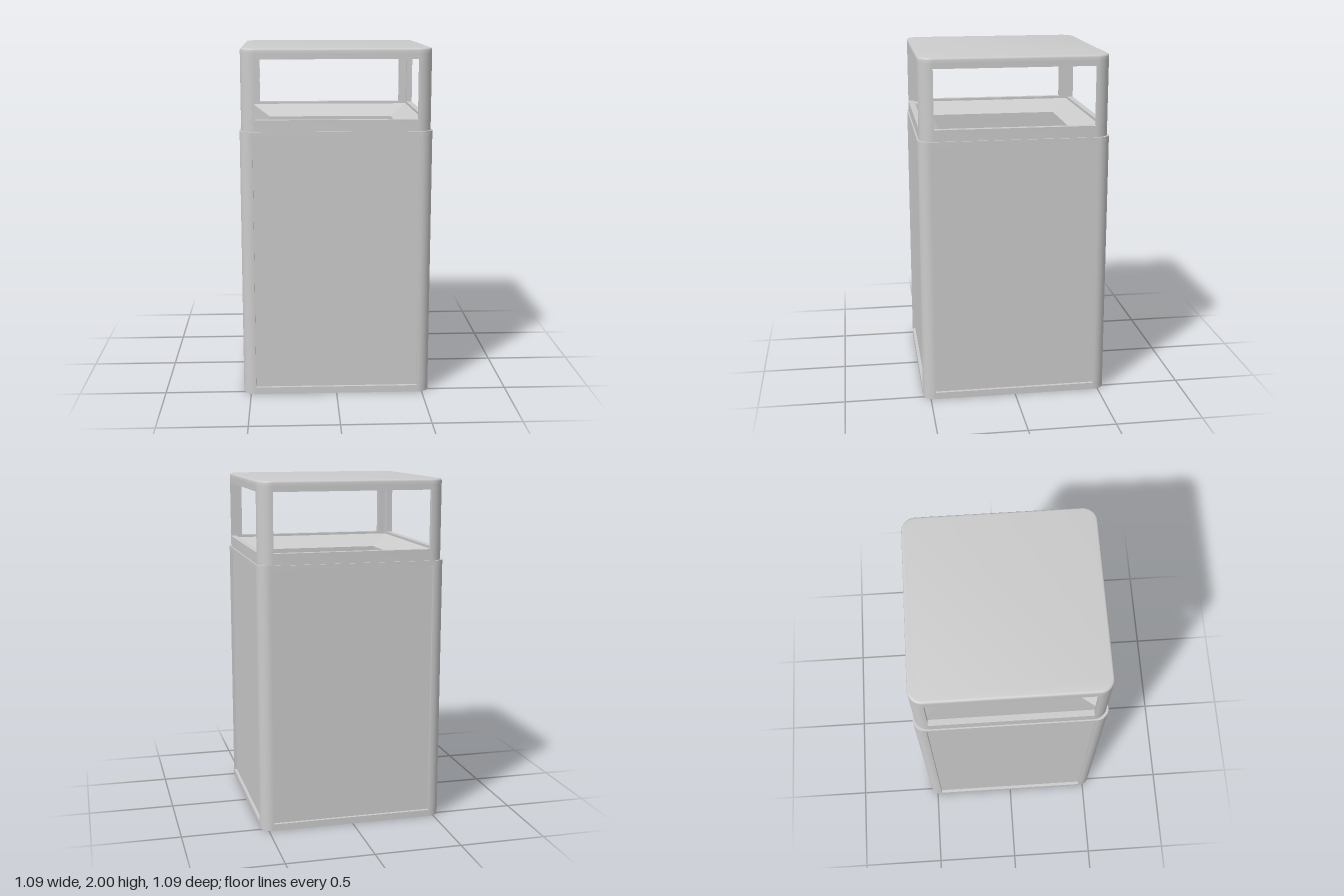
import * as THREE from 'three';
import { toCreasedNormals } from 'three/addons/utils/BufferGeometryUtils.js';

const BODY = 0.543, BODY_R = 0.07, PANEL = 0.47, BODY_TOP = 1.54;
const HOOD = 0.535, HOOD_R = 0.08, WINDOW = 0.457, INNER = 0.5;
const mat = new THREE.MeshStandardMaterial({ color: 0xcccccc });
const thinMat = new THREE.MeshStandardMaterial({ color: 0xcccccc, side: THREE.DoubleSide });

function mesh(name, geometry, material = mat) {
  const m = new THREE.Mesh(geometry, material);
  m.name = name;
  return m;
}

// Rounded square outline of half-width h
function roundedSquare(h, r) {
  const s = new THREE.Shape();
  const c = h - r;
  s.absarc(c, c, r, 0, Math.PI / 2);
  s.absarc(-c, c, r, Math.PI / 2, Math.PI);
  s.absarc(-c, -c, r, Math.PI, Math.PI * 1.5);
  s.absarc(c, -c, r, Math.PI * 1.5, Math.PI * 2);
  s.closePath();
  return s;
}

function squareHole(h) {
  const p = new THREE.Path();
  p.moveTo(-h, -h);
  p.lineTo(-h, h);
  p.lineTo(h, h);
  p.lineTo(h, -h);
  p.closePath();
  return p;
}

// Upright extrusion of a plan outline from y0 to y1
function rise(shape, y0, y1) {
  const g = new THREE.ExtrudeGeometry(shape, { depth: y1 - y0, bevelEnabled: false, curveSegments: 6 });
  g.rotateX(-Math.PI / 2);
  g.translate(0, y0, 0);
  return toCreasedNormals(g, 0.6);
}

function ring(name, half, radius, hole, y0, y1) {
  const s = roundedSquare(half, radius);
  s.holes.push(squareHole(hole));
  return mesh(name, rise(s, y0, y1));
}

// L-shaped corner post with a rounded outer edge
function cornerPosts(name, half, radius, start, inner, y0, y1) {
  const s = new THREE.Shape();
  s.moveTo(start, inner);
  s.lineTo(inner, inner);
  s.lineTo(inner, start);
  s.lineTo(half, start);
  s.absarc(half - radius, half - radius, radius, 0, Math.PI / 2);
  s.lineTo(start, half);
  s.closePath();
  const geometry = rise(s, y0, y1);
  const group = new THREE.Group();
  group.name = name + 's';
  for (let i = 0; i < 4; i++) {
    const post = mesh(name, geometry);
    post.rotation.y = i * Math.PI / 2;
    group.add(post);
  }
  return group;
}

// Open four-sided sleeve between two square half-widths
function sleeve(name, topHalf, bottomHalf, y0, y1) {
  const g = new THREE.CylinderGeometry(topHalf * Math.SQRT2, bottomHalf * Math.SQRT2, y1 - y0, 4, 1, true);
  g.rotateY(Math.PI / 4);
  g.translate(0, (y0 + y1) / 2, 0);
  return mesh(name, toCreasedNormals(g, 0.5), thinMat);
}

export function createModel() {
  const model = new THREE.Group();
  model.name = 'litterBin';

  // Body frame, open underneath
  const body = new THREE.Group();
  body.name = 'body';
  body.add(ring('bottomRail', BODY, BODY_R, 0.5, 0, 0.04));
  body.add(ring('topRail', BODY, BODY_R, 0.5, 1.515, BODY_TOP));
  body.add(cornerPosts('bodyPost', BODY, BODY_R, PANEL, 0.5, 0.04, 1.515));

  // Recessed side panels
  for (let i = 0; i < 4; i++) {
    const g = new THREE.BoxGeometry(PANEL * 2 + 0.03, 1.475, 0.01);
    g.translate(0, 0.7775, 0.52);
    const panel = mesh('sidePanel', g);
    panel.rotation.y = i * Math.PI / 2;
    body.add(panel);
  }
  model.add(body);

  // Hood with four windows
  const hood = new THREE.Group();
  hood.name = 'hood';
  hood.add(ring('windowSill', HOOD, HOOD_R, INNER, BODY_TOP, 1.605));
  hood.add(cornerPosts('hoodPost', HOOD, HOOD_R, WINDOW, INNER, 1.605, 1.94));
  hood.add(ring('windowHeader', HOOD, HOOD_R, INNER, 1.94, 1.97));

  // Lid with a softened upper edge
  const bevel = 0.012;
  const lid = new THREE.ExtrudeGeometry(roundedSquare(HOOD - bevel, HOOD_R - bevel), {
    depth: 0.03 - bevel, bevelThickness: bevel, bevelSize: bevel, bevelSegments: 3, curveSegments: 6,
  });
  lid.rotateX(-Math.PI / 2);
  // Straighten the lower bevel so the lid meets the header squarely
  const lp = lid.attributes.position;
  for (let i = 0; i < lp.count; i++) lp.setY(i, lp.getY(i) < 0.001 ? 0 : lp.getY(i));
  lid.translate(0, 1.97, 0);
  hood.add(mesh('lid', toCreasedNormals(lid, 0.6)));
  model.add(hood);

  // Sloping chute into the square throat
  model.add(sleeve('chute', INNER, 0.39, 1.52, 1.59));
  model.add(sleeve('throat', 0.39, 0.39, 1.36, 1.52));

  // Uneven surface of the contents
  const heap = new THREE.PlaneGeometry(0.78, 0.78, 20, 20);
  heap.rotateX(-Math.PI / 2);
  const p = heap.attributes.position;
  for (let i = 0; i < p.count; i++) {
    const x = p.getX(i), z = p.getZ(i);
    const dome = Math.cos(x * 4) * Math.cos(z * 4);
    p.setY(i, 1.42 + 0.06 * dome + 0.015 * Math.sin(x * 9 + 1) * Math.cos(z * 8));
  }
  heap.computeVertexNormals();
  model.add(mesh('contents', heap, thinMat));

  return model;
}
